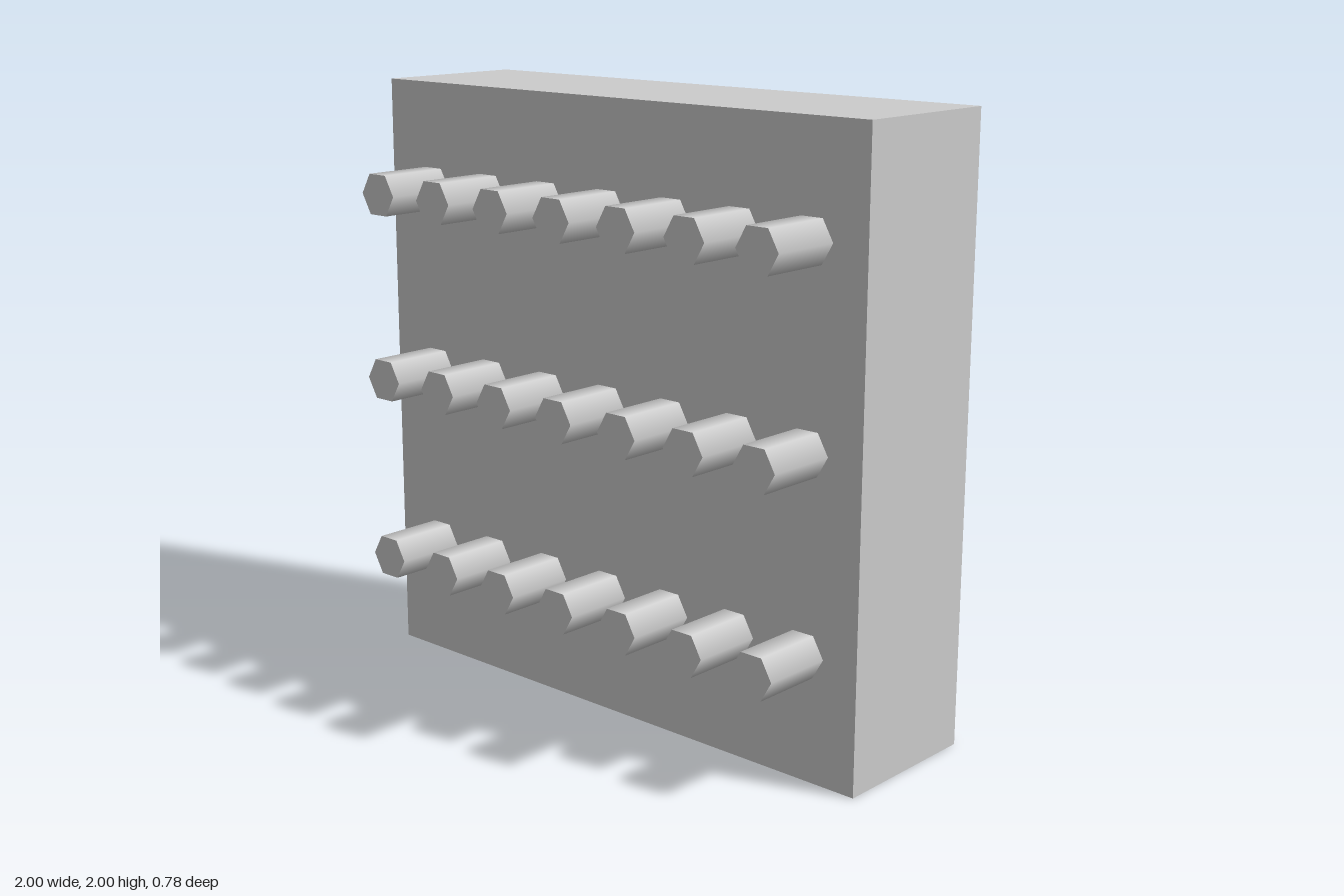
import * as THREE from 'three';

export function createModel() {
  const model = new THREE.Group();
  const material = new THREE.MeshStandardMaterial({ color: 0xcccccc });

  // Thick square slab
  const back = -0.388, face = 0.145, tip = 0.388;
  const slab = new THREE.Mesh(new THREE.BoxGeometry(2, 2, face - back), material);
  slab.name = 'slab';
  slab.position.set(0, 1, (face + back) / 2);
  model.add(slab);

  // Six-sided pegs pointing forward, with corners to the left and right
  const length = tip - face;
  const pegGeometry = new THREE.CylinderGeometry(0.077, 0.077, length, 6, 1, false, Math.PI / 2);
  pegGeometry.rotateX(Math.PI / 2);

  // Three rows of seven pegs
  [0.403, 1.025, 1.648].forEach((y, r) => {
    const row = new THREE.Group();
    row.name = `pegRow${r + 1}`;
    for (let i = -3; i <= 3; i++) {
      const peg = new THREE.Mesh(pegGeometry, material);
      peg.name = 'peg';
      peg.position.set(i * 0.2667, y, face + length / 2);
      row.add(peg);
    }
    model.add(row);
  });

  return model;
}
